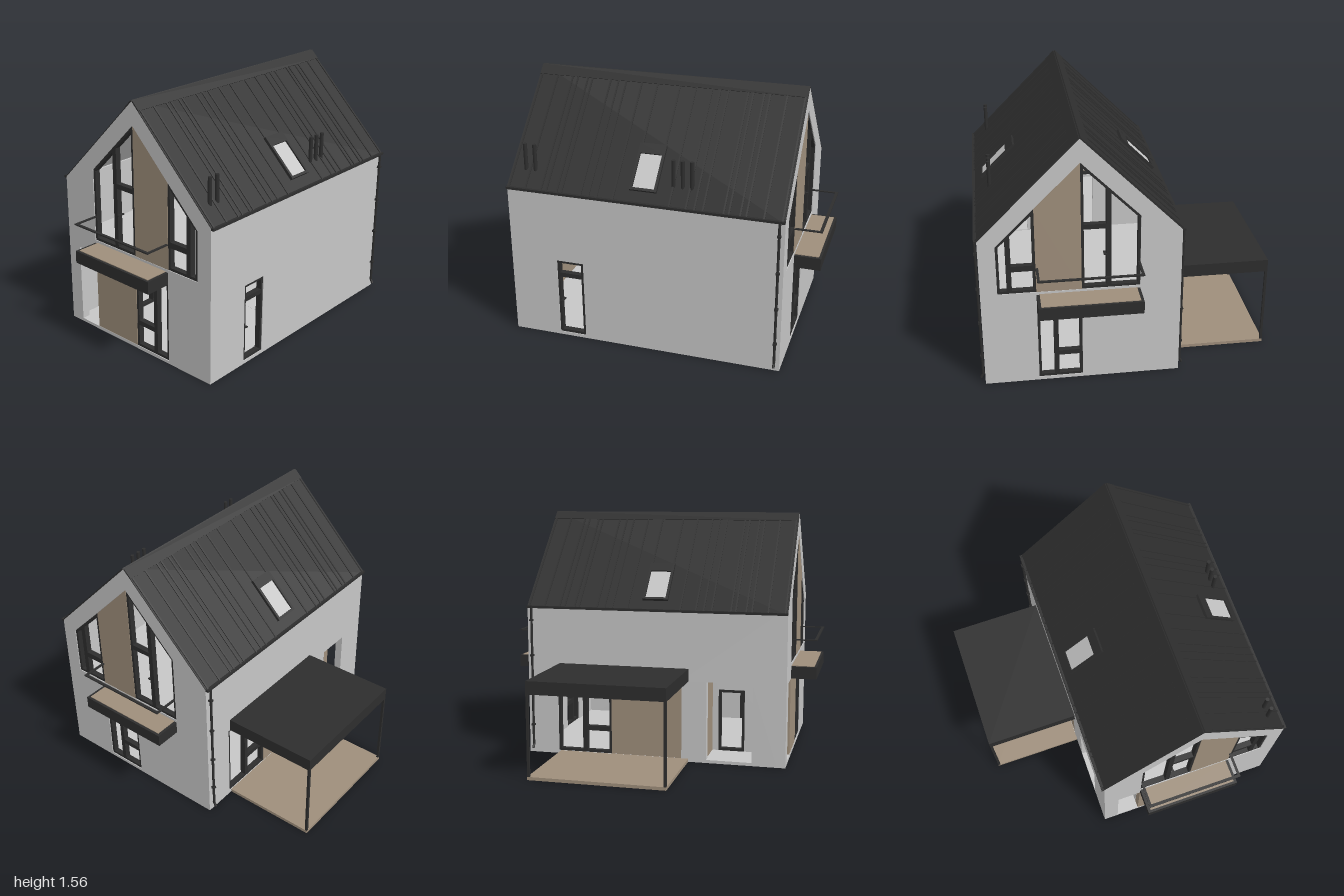
import * as THREE from 'three';

const wallMat = new THREE.MeshStandardMaterial({ color: 0xc6c6c6, name: 'lightRender' });
const woodMat = new THREE.MeshStandardMaterial({ color: 0x9e8e7b, name: 'wood' });
const darkMat = new THREE.MeshStandardMaterial({ color: 0x2d2d2d, name: 'darkMetal' });

const CX = 0.285, EAVE = 0.965, RIDGE = 1.555, T = 0.05;
const X0 = -0.305, X1 = 0.875, Z = 0.84;

// Box from its minimum and maximum corners
function box(parent, name, mat, x0, x1, y0, y1, z0, z1) {
  const m = new THREE.Mesh(new THREE.BoxGeometry(x1 - x0, y1 - y0, z1 - z0), mat);
  m.position.set((x0 + x1) / 2, (y0 + y1) / 2, (z0 + z1) / 2);
  m.name = name;
  parent.add(m);
  return m;
}

const points = (list) => list.map(([x, y]) => new THREE.Vector2(x, y));
const rect = (x0, x1, y0, y1) => [[x0, y0], [x1, y0], [x1, y1], [x0, y1]];

// Upright slab with openings, from z to z + depth
function slab(parent, name, mat, outline, holes, z, depth) {
  const shape = new THREE.Shape(points(outline));
  holes.forEach((h) => shape.holes.push(new THREE.Path(points(h))));
  const m = new THREE.Mesh(new THREE.ExtrudeGeometry(shape, { depth, bevelEnabled: false }), mat);
  m.position.z = z;
  m.name = name;
  parent.add(m);
  return m;
}

// Window frame whose bars run just inside a counter-clockwise outline
function frame(parent, name, outline, z, w = 0.016, depth = 0.035) {
  const n = outline.length;
  const inner = outline.map((p, i) => {
    const a = new THREE.Vector2(...outline[(i + n - 1) % n]);
    const b = new THREE.Vector2(...p), c = new THREE.Vector2(...outline[(i + 1) % n]);
    const d1 = b.clone().sub(a).normalize(), d2 = c.clone().sub(b).normalize();
    const n1 = new THREE.Vector2(-d1.y, d1.x), n2 = new THREE.Vector2(-d2.y, d2.x);
    const s = n1.clone().add(n2).multiplyScalar(w / (1 + n1.dot(n2)));
    return [b.x + s.x, b.y + s.y];
  });
  slab(parent, name, darkMat, outline, [inner], z, depth);
}

// Group whose local x runs along world z and whose outer face is at world x
function sideGroup(parent, name, x) {
  const g = new THREE.Group();
  g.name = name;
  g.rotation.y = -Math.PI / 2;
  g.position.x = x;
  parent.add(g);
  return g;
}

function gable(parent, front) {
  const g = new THREE.Group();
  g.name = front ? 'frontGable' : 'backGable';
  const zw = front ? Z - T : -Z, zf = front ? Z - 0.04 : -Z + 0.005;
  const outline = [[X0, 0], [X1, 0], [X1, EAVE], [CX, RIDGE], [X0, EAVE]];
  const upper = [[-0.06, 0.615], [0.775, 0.615], [0.775, 0.925], [CX, 1.415], [-0.06, 1.07]];
  slab(g, 'gableWall', wallMat, outline, [upper, rect(front ? -0.21 : CX, 0.55, 0.02, 0.52)], zw, T);

  // Upper storey glazing and timber panel
  frame(g, 'tallWindowFrame', [[-0.06, 0.615], [CX, 0.615], [CX, 1.415], [-0.06, 1.07]], zf);
  box(g, 'tallWindowPost', darkMat, 0.11, 0.14, 0.62, 1.25, zf, zf + 0.035);
  box(g, 'tallWindowRail', darkMat, 0.14, CX, 1.0, 1.03, zf, zf + 0.035);
  box(g, 'doorHandle', darkMat, 0.138, 0.155, 0.83, 0.836, zf - 0.006, zf + 0.041);
  slab(g, 'upperWoodPanel', woodMat, [[CX, 0.615], [0.55, 0.615], [0.55, 1.147], [CX, 1.415]], [], zw + 0.002, T - 0.004);
  frame(g, 'smallWindowFrame', [[0.55, 0.615], [0.775, 0.615], [0.775, 0.925], [0.55, 1.147]], zf);
  box(g, 'smallWindowPost', darkMat, 0.69, 0.72, 0.62, 0.995, zf, zf + 0.035);
  box(g, 'smallWindowRail', darkMat, 0.56, 0.7, 0.755, 0.79, zf, zf + 0.035);

  // Ground floor glazed door
  frame(g, 'groundDoorFrame', rect(CX, 0.55, 0.02, 0.52), zf);
  box(g, 'groundDoorPost', darkMat, 0.427, 0.455, 0.03, 0.51, zf, zf + 0.035);
  box(g, 'groundDoorRail', darkMat, 0.295, 0.43, 0.165, 0.195, zf, zf + 0.035);
  if (front) box(g, 'lowerWoodPanel', woodMat, -0.06, CX, 0.02, 0.52, zw + 0.002, Z - 0.002);
  parent.add(g);
}

function balcony(parent, s) {
  const g = new THREE.Group();
  g.name = s > 0 ? 'frontBalcony' : 'backBalcony';
  const b = (name, mat, x0, x1, y0, y1, a, c) =>
    box(g, name, mat, x0, x1, y0, y1, Math.min(a * s, c * s), Math.max(a * s, c * s));
  b('balconyBase', darkMat, -0.06, 0.55, 0.52, 0.597, Z, 1);
  b('balconyDeck', woodMat, -0.042, 0.532, 0.597, 0.601, Z, 0.985);
  b('frontRail', darkMat, -0.06, 0.55, 0.766, 0.773, 0.982, 1);
  for (const x of [-0.06, 0.535]) b('sideRail', darkMat, x, x + 0.015, 0.766, 0.773, Z - 0.02, 0.99);
  parent.add(g);
}

function roofSide(parent, s) {
  const g = new THREE.Group();
  g.name = s > 0 ? 'rightRoof' : 'leftRoof';
  g.position.set(CX, RIDGE, 0);
  g.rotation.set(0, s > 0 ? 0 : Math.PI, -Math.atan2(RIDGE - EAVE, X1 - CX));
  const L = 0.85;
  box(g, 'ceiling', wallMat, 0.02, L - 0.02, -0.025, -0.004, -Z + 0.02, Z - 0.02);
  box(g, 'roofSheet', darkMat, 0, L, 0, 0.004, -Z, Z);
  box(g, 'ridgeCap', darkMat, 0, 0.07, 0.004, 0.008, -Z, Z);
  // Standing seams, split around the skylight
  for (const z of [0.825, 0.72, 0.62, 0.585, 0.52, 0.49, 0.37, 0.32, 0.27, 0.17, 0.07]) {
    for (const k of [z, -z]) box(g, 'roofSeam', darkMat, 0.07, z < 0.08 ? 0.47 : L, 0.004, 0.009, k - 0.005, k + 0.005);
  }
  // Skylight
  const a = 0.467, b = 0.765;
  box(g, 'skylightPane', wallMat, a + 0.05, b - 0.01, 0.004, 0.012, -0.068, 0.068);
  box(g, 'skylightHead', darkMat, a, a + 0.065, 0.004, 0.022, -0.082, 0.082);
  box(g, 'skylightSill', darkMat, b - 0.016, b, 0.004, 0.022, -0.082, 0.082);
  for (const z of [-0.082, 0.066]) box(g, 'skylightSide', darkMat, a, b, 0.004, 0.022, z, z + 0.016);
  parent.add(g);

  // Gutter and downpipe
  const x = s > 0 ? X1 : X0;
  box(parent, 'gutter', darkMat, x - 0.009 + s * 0.009, x + 0.009 + s * 0.009, 0.955, 0.97, -Z, Z);
  const pipe = new THREE.Mesh(new THREE.CylinderGeometry(0.008, 0.008, 0.91, 10), darkMat);
  pipe.position.set(x + s * 0.012, 0.51, -0.81);
  pipe.name = 'downpipe';
  const foot = new THREE.Mesh(new THREE.CylinderGeometry(0.008, 0.008, 0.035, 10), darkMat);
  foot.position.set(x + s * 0.017, 0.045, -0.81);
  foot.rotation.z = s * 0.5;
  foot.name = 'downpipeFoot';
  parent.add(pipe, foot);
  for (const y of [0.18, 0.41, 0.64, 0.87]) {
    box(parent, 'pipeBracket', darkMat, x + s * 0.012 - 0.011, x + s * 0.012 + 0.011, y, y + 0.012, -0.821, -0.799);
  }
}

export function createModel() {
  const house = new THREE.Group();
  house.name = 'house';

  // Gable ends, floors and an inner partition
  gable(house, true);
  gable(house, false);
  box(house, 'groundSlab', wallMat, X0 + 0.001, X1 - 0.001, 0, 0.02, -Z + 0.001, Z - 0.001);
  box(house, 'upperFloor', wallMat, X0 + T, X1 - T, 0.53, 0.6, -Z + T, Z - T);
  slab(house, 'partition', wallMat,
    [[X0 + T, 0.02], [X1 - T, 0.02], [X1 - T, 0.99], [CX, 1.525], [X0 + T, 0.99]],
    [rect(0.28, 0.56, 0.021, 0.525), rect(0.12, 0.285, 0.605, 1.01), rect(0.555, 0.7, 0.605, 0.77)], -0.015, 0.03);

  // Right wall with its door
  const wallOutline = rect(-Z + T, Z - T, 0, EAVE);
  const right = sideGroup(house, 'rightSide', X1);
  const doorway = rect(0.375, 0.545, 0.02, 0.515);
  slab(right, 'rightWall', wallMat, wallOutline, [doorway], 0, T);
  frame(right, 'sideDoorFrame', doorway, 0.005);
  box(right, 'sideDoorRail', darkMat, 0.38, 0.54, 0.405, 0.433, 0.005, 0.04);
  box(right, 'sideDoorHandle', darkMat, 0.515, 0.535, 0.236, 0.242, -0.004, 0.045);

  // Left wall with terrace doors, timber panel and porch opening
  const left = sideGroup(house, 'leftSide', X0 + T);
  const terraceDoor = rect(-0.64, -0.28, 0.02, 0.52);
  slab(left, 'leftWall', wallMat, wallOutline,
    [rect(-0.64, 0.18, 0.02, 0.52), rect(0.34, 0.63, 0.02, 0.52)], 0, T);
  frame(left, 'terraceDoorFrame', terraceDoor, 0.01);
  box(left, 'terraceDoorPost', darkMat, -0.475, -0.445, 0.03, 0.51, 0.01, 0.045);
  box(left, 'terraceDoorRail', darkMat, -0.45, -0.29, 0.165, 0.195, 0.01, 0.045);
  box(left, 'terraceWoodPanel', woodMat, -0.28, 0.18, 0.02, 0.52, 0.002, T - 0.002);

  // Corner porch with the entrance door
  box(house, 'porchBackPanel', woodMat, X0 + T, -0.03, 0.02, 0.53, 0.31, 0.335);
  const porch = sideGroup(house, 'porchInnerWall', -0.03);
  const entrance = rect(0.375, 0.545, 0.021, 0.425);
  slab(porch, 'porchWall', wallMat, rect(0.335, Z - T, 0.02, 0.53), [entrance], 0, 0.03);
  frame(porch, 'entranceFrame', entrance, 0);

  // Roof, flues and balconies
  for (const s of [1, -1]) {
    roofSide(house, s);
    balcony(house, s);
  }
  for (const z of [0.75, 0.69, -0.17, -0.225, -0.28]) {
    const flue = new THREE.Mesh(new THREE.CylinderGeometry(0.012, 0.012, 0.17, 14), darkMat);
    flue.position.set(0.785, 1.13, z);
    flue.name = 'flue';
    house.add(flue);
  }

  // Covered terrace
  const terrace = new THREE.Group();
  terrace.name = 'terrace';
  box(terrace, 'terraceDeck', woodMat, -0.9, X0, 0, 0.02, -0.625, 0.225);
  box(terrace, 'terraceRoof', darkMat, -0.9, X0, 0.52, 0.6, -0.625, 0.225);
  for (const z of [-0.625, 0.21]) box(terrace, 'terracePost', darkMat, -0.9, -0.885, 0.02, 0.52, z, z + 0.015);
  house.add(terrace);
  return house;
}
